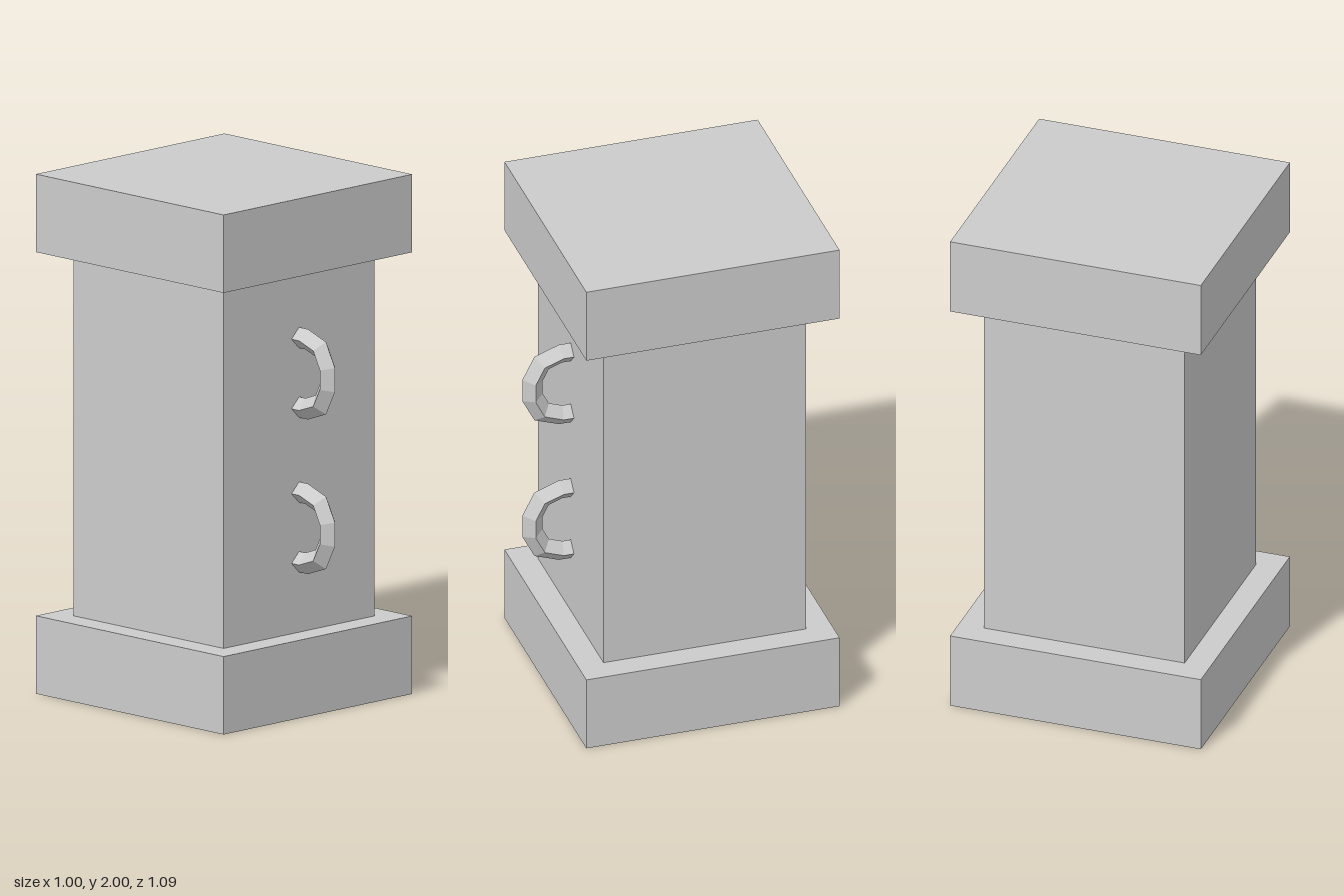
import * as THREE from 'three';

const grey = new THREE.MeshStandardMaterial({ color: 0xcccccc, flatShading: true });

function block(name, width, height, y) {
  const mesh = new THREE.Mesh(new THREE.BoxGeometry(width, height, width), grey);
  mesh.name = name;
  mesh.position.set(0, y + height / 2, -0.045);
  return mesh;
}

// Bent rung: a diamond section swept with mitred corners along a (z, y) path
function rungGeometry(radius) {
  const upper = [[0.35, 0.134], [0.395, 0.134], [0.47, 0.107], [0.506, 0.037]];
  const path = [...upper, ...upper.slice().reverse().map(([z, y]) => [z, -y])]
    .map(([z, y]) => new THREE.Vector2(z, y));
  const normals = path.slice(1).map((p, i) => {
    const d = p.clone().sub(path[i]).normalize();
    return new THREE.Vector2(-d.y, d.x);
  });
  const positions = [];
  const index = [];
  path.forEach((p, i) => {
    const a = normals[Math.max(i - 1, 0)];
    const b = normals[Math.min(i, normals.length - 1)];
    const miter = a.clone().add(b).multiplyScalar(radius / (1 + a.dot(b)));
    for (const [side, out] of [[0, 1], [1, 0], [0, -1], [-1, 0]]) {
      positions.push(side * radius, p.y + miter.y * out, p.x + miter.x * out);
    }
  });
  for (let i = 0; i < path.length - 1; i++) {
    for (let j = 0; j < 4; j++) {
      const a = i * 4 + j, b = i * 4 + (j + 1) % 4;
      index.push(a, a + 4, b, b, a + 4, b + 4);
    }
  }
  const geometry = new THREE.BufferGeometry();
  geometry.setAttribute('position', new THREE.Float32BufferAttribute(positions, 3));
  geometry.setIndex(index);
  geometry.computeVertexNormals();
  return geometry;
}

export function createModel() {
  const model = new THREE.Group();
  model.name = 'pillar';

  // Square pillar between two wider slabs
  model.add(block('base', 1, 0.3, 0), block('shaft', 0.8, 1.4, 0.3), block('cap', 1, 0.3, 1.7));

  // Two rungs on the front face
  const geometry = rungGeometry(0.04);
  const material = grey.clone();
  material.side = THREE.DoubleSide;
  for (const [name, y] of [['lowerRung', 0.705], ['upperRung', 1.3]]) {
    const rung = new THREE.Mesh(geometry, material);
    rung.name = name;
    rung.position.y = y;
    model.add(rung);
  }
  return model;
}
